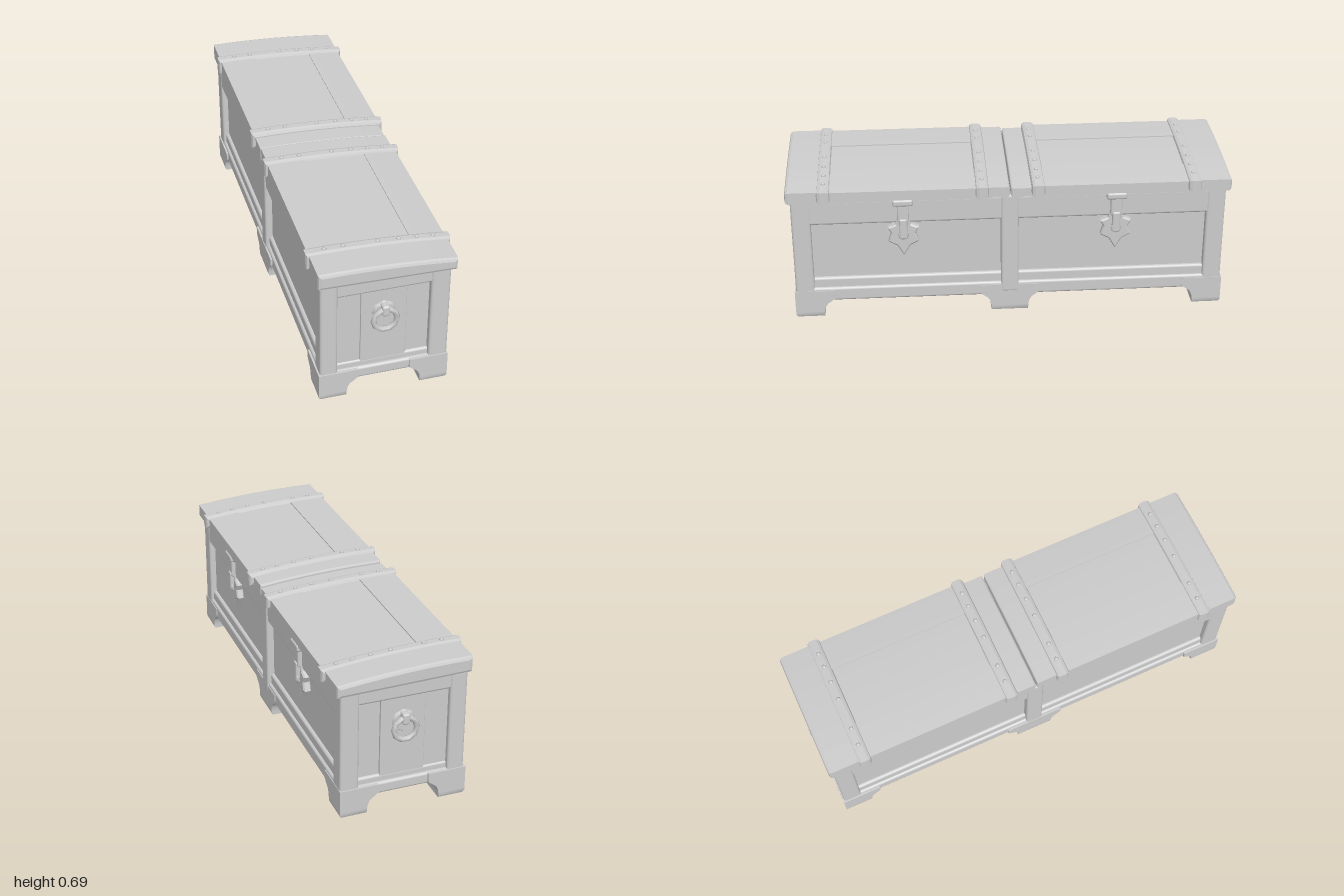
import * as THREE from 'three';
import { RoundedBoxGeometry } from 'three/addons/geometries/RoundedBoxGeometry.js';

export function createModel() {
  const root = new THREE.Group();
  root.name = 'chest';
  const wood = new THREE.MeshStandardMaterial({ color: 0xcccccc });
  wood.name = 'pale grey';

  const add = (name, geometry, parent = root) => {
    const mesh = new THREE.Mesh(geometry, wood);
    mesh.name = name;
    parent.add(mesh);
    return mesh;
  };

  // Softened box given by its limits
  const block = (name, x0, x1, y0, y1, z0, z1, r = 0.012) => {
    const g = new RoundedBoxGeometry(x1 - x0, y1 - y0, z1 - z0, 2, r);
    return add(name, g.translate((x0 + x1) / 2, (y0 + y1) / 2, (z0 + z1) / 2));
  };

  const L = -0.288, R = 0.276, END = 0.975; // outer faces of the frame

  // Inner body with recessed panels
  add('bodyCore', new THREE.BoxGeometry(0.505, 0.52, 1.89).translate(-0.006, 0.345, 0));

  for (const s of [-1, 1]) {
    const zBox = (name, x0, x1, y0, y1, a, b, r) =>
      block(name, x0, x1, y0, y1, Math.min(a * s, b * s), Math.max(a * s, b * s), r);
    // Corner posts and end rails
    zBox('leftPost', L, -0.212, 0.1, 0.605, 0.89, END);
    zBox('rightPost', 0.192, R, 0.1, 0.6, 0.89, END);
    zBox('endTopRail', -0.25, 0.24, 0.528, 0.605, 0.92, END - 0.006);
    zBox('endBottomRail', -0.25, 0.24, 0.083, 0.138, 0.92, END - 0.003);
    zBox('endLedge', -0.23, 0.21, 0.12, 0.168, 0.92, END - 0.018);
    // Upright planks of the end panel
    zBox('endPlank', -0.215, -0.108, 0.15, 0.54, 0.92, 0.951, 0.003);
    zBox('endPlank', -0.108, 0.092, 0.15, 0.54, 0.92, 0.956, 0.003);

    // Long-side rails of each bay, on both flanks
    for (const [a, b] of [[L, -0.24], [0.228, R]]) {
      const left = a < 0;
      const inset = (d) => (left ? [a + d, b] : [a, b - d]);
      zBox('sideTopRail', ...inset(0.003), 0.472, 0.59, 0.02, 0.92);
      zBox('sideBottomRail', ...inset(0.002), 0.083, 0.15, 0.02, 0.92);
      zBox('sideLedge', ...inset(0.014), 0.13, 0.197, 0.02, 0.92);
    }
  }
  block('leftCentrePost', L - 0.004, -0.23, 0.1, 0.6, -0.04, 0.04);
  block('rightCentrePost', 0.22, R + 0.004, 0.1, 0.597, -0.04, 0.04);

  // Feet: straight outer faces, inner faces flaring up into the floor
  const foot = (name, sx, z, depth, flareDirs) => {
    const w = 0.122, h = 0.132, y0 = 0.004;
    const g = new THREE.BoxGeometry(w, h, depth, 2, 10, 2);
    const p = g.attributes.position;
    for (let i = 0; i < p.count; i++) {
      const t = Math.min(1, (p.getY(i) + h / 2) / 0.082);
      const flare = 0.05 * (1 - Math.sqrt(Math.max(0, 1 - t ** 3)));
      const x = p.getX(i), zz = p.getZ(i);
      const tuck = t < 0.1 ? 0.006 : 0;
      if (x * sx < -0.01) p.setX(i, x - sx * flare);
      else if (x * sx > 0.01) p.setX(i, x - sx * tuck);
      if (Math.abs(zz) > 0.01) {
        const d = Math.sign(zz);
        p.setZ(i, zz + d * (flareDirs.includes(d) ? flare : -tuck));
      }
    }
    g.computeVertexNormals();
    const outer = sx < 0 ? L - 0.007 : R + 0.002;
    add(name, g.translate(outer - sx * w / 2, y0 + h / 2, z));
  };
  for (const sx of [-1, 1]) {
    for (const s of [-1, 1]) foot('cornerFoot', sx, s * 0.915, 0.132, [-s]);
    foot('centreFoot', sx, 0, 0.17, [-1, 1]);
  }

  // Lid: sloping, slightly bowed boards extruded along z
  const lidTop = (x) => 0.668 - 0.05 * x - 0.11 * x * x;
  const board = (name, x0, x1, z0, z1, rise, bevel = 0.008, bottom = 0.602) => {
    const s = new THREE.Shape();
    s.moveTo(x0, bottom - 0.02 * x0 - 0.004);
    s.lineTo(x1, bottom - 0.02 * x1 - 0.004);
    for (let i = 0; i <= 6; i++) {
      const x = x1 + (x0 - x1) * i / 6;
      s.lineTo(x, lidTop(x) + rise);
    }
    s.closePath();
    const g = new THREE.ExtrudeGeometry(s, {
      depth: z1 - z0 - 2 * bevel, bevelEnabled: true, bevelThickness: bevel,
      bevelSize: bevel, bevelOffset: -bevel, bevelSegments: 2,
    });
    return add(name, g.translate(0, 0, z0 + bevel));
  };
  for (const s of [-1, 1]) {
    const span = (a, b) => (s > 0 ? [a, b] : [-b, -a]);
    board('lidEndBoard', -0.3, 0.297, ...span(0.8, 0.995), 0.004, 0.014);
    board('lidPlank', -0.3, -0.13, ...span(0.13, 0.83), 0.001, 0.005);
    board('lidPlank', -0.134, 0.15, ...span(0.13, 0.83), -0.004, 0.005);
    board('lidPlank', 0.146, 0.297, ...span(0.13, 0.83), 0, 0.005);
    board('lidMiddleBoard', -0.296, 0.292, ...span(0.003, 0.13), s > 0 ? -0.002 : -0.01);
    // Raised straps with nail heads
    for (const z of [0.826, 0.125]) {
      board('lidStrap', -0.313, 0.313, ...span(z - 0.03, z + 0.03), 0.011, 0.016, 0.606);
      for (const x of [-0.23, -0.15, 0, 0.09, 0.17, 0.24]) {
        const nail = add('nailHead', new THREE.SphereGeometry(0.011, 6, 4));
        nail.position.set(x, lidTop(x) + 0.011, s * z);
        nail.scale.y = 0.7;
      }
    }
  }

  // End handles: back plate, staple and hanging ring
  for (const s of [-1, 1]) {
    const handle = new THREE.Group();
    handle.name = 'endHandle';
    handle.position.set(-0.009, 0, 0);
    if (s < 0) handle.rotation.y = Math.PI;
    root.add(handle);
    const plate = add('handlePlate', new THREE.CylinderGeometry(0.045, 0.055, 0.016, 8), handle);
    plate.rotation.x = Math.PI / 2;
    plate.position.set(0, 0.415, 0.96);
    const staple = add('handleStaple', new RoundedBoxGeometry(0.034, 0.052, 0.05, 2, 0.01), handle);
    staple.position.set(0, 0.437, 0.972);
    const ring = add('handleRing', new THREE.TorusGeometry(0.052, 0.013, 6, 10), handle);
    ring.position.set(0, 0.388, 0.982);
  }

  // Latches on the right flank: hinge block, hanging strap, pointed shield plate
  const shield = new THREE.Shape();
  [[0, -0.105], [0.03, -0.055], [0.068, -0.035], [0.055, 0.005], [0.07, 0.035],
    [0.035, 0.05], [0.025, 0.085], [-0.025, 0.085], [-0.035, 0.05], [-0.07, 0.035],
    [-0.055, 0.005], [-0.068, -0.035], [-0.03, -0.055]]
    .forEach(([x, y], i) => (i ? shield.lineTo(x, y) : shield.moveTo(x, y)));
  for (const z of [0.478, -0.478]) {
    const plate = add('latchPlate', new THREE.ExtrudeGeometry(shield, {
      depth: 0.024, bevelThickness: 0.006, bevelSize: 0.006, bevelOffset: -0.006, bevelSegments: 1,
    }));
    plate.rotation.y = Math.PI / 2;
    plate.position.set(0.25, 0.415, z);
    block('latchHinge', 0.262, 0.303, 0.566, 0.598, z - 0.046, z + 0.046, 0.01);
    block('latchStrap', 0.265, 0.292, 0.48, 0.585, z - 0.026, z + 0.026, 0.008);
    block('latchTongue', 0.268, 0.298, 0.4, 0.5, z - 0.018, z + 0.018, 0.008);
    const staple = add('latchStaple', new THREE.TorusGeometry(0.018, 0.007, 5, 8));
    staple.position.set(0.29, 0.42, z);
    staple.rotation.y = Math.PI / 2;
  }
  return root;
}
